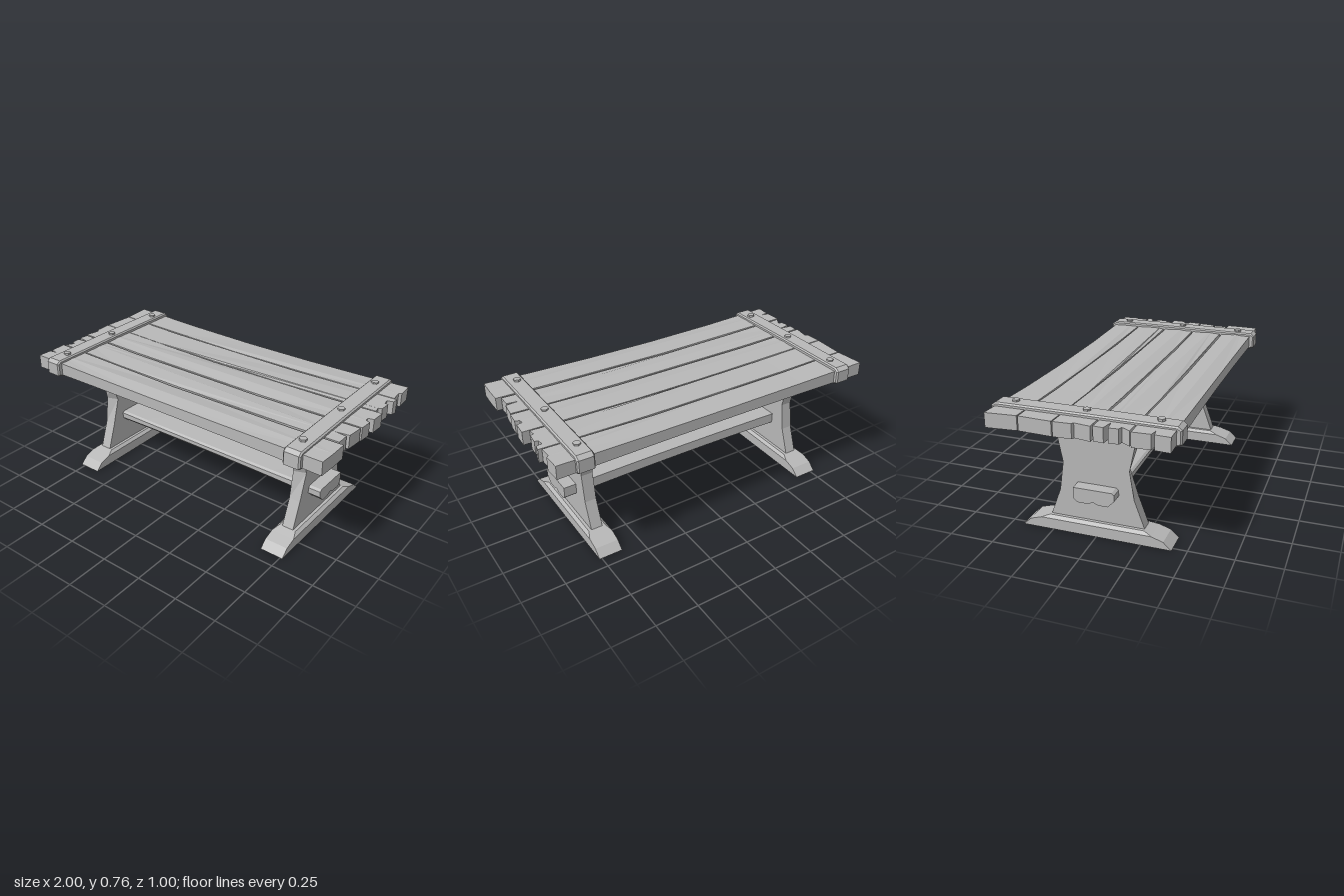
import * as THREE from 'three';

const wood = new THREE.MeshStandardMaterial({ color: 0xb8b8b8 });
wood.name = 'plain wood';

// Adds a faceted mesh, after moving its vertices by an optional rule
function part(group, name, geometry, rule) {
  const g = geometry.index ? geometry.toNonIndexed() : geometry;
  const p = g.attributes.position;
  const v = new THREE.Vector3();
  if (rule) {
    for (let i = 0; i < p.count; i++) {
      v.fromBufferAttribute(p, i);
      rule(v);
      p.setXYZ(i, v.x, v.y, v.z);
    }
  }
  g.computeVertexNormals();
  const mesh = new THREE.Mesh(g, wood);
  mesh.name = name;
  group.add(mesh);
  return mesh;
}

// Extrudes a [z, y] outline along x
function alongX(points, x0, x1, options = {}) {
  const shape = new THREE.Shape(points.map(([z, y]) => new THREE.Vector2(-z, y)));
  const g = new THREE.ExtrudeGeometry(shape, { depth: x1 - x0, bevelEnabled: false, ...options });
  return g.rotateY(Math.PI / 2).translate(x0, 0, 0);
}

// Extrudes an [x, z] outline upwards
function alongY(points, y0, y1) {
  const shape = new THREE.Shape(points.map(([x, z]) => new THREE.Vector2(x, -z)));
  return new THREE.ExtrudeGeometry(shape, { depth: y1 - y0, bevelEnabled: false })
    .rotateX(-Math.PI / 2).translate(0, y0, 0);
}

// Planks: back and front edge, then ragged ends as [share of width, x]
const planks = [
  { z: [-0.482, -0.312], left: [[0, -1], [1, -0.985]], right: [[0, 0.98], [0.55, 0.985], [0.6, 0.97], [1, 0.975]] },
  { z: [-0.306, -0.123], left: [[0, -0.985], [1, -0.995]],
    right: [[0, 0.995], [0.18, 0.99], [0.22, 0.955], [0.4, 0.96], [0.42, 0.98], [0.75, 0.975], [0.8, 0.955], [1, 0.96]] },
  { z: [-0.117, 0.077], left: [[0, -0.995], [0.5, -0.99], [0.54, -0.975], [1, -0.99]],
    right: [[0, 1], [0.42, 0.995], [0.46, 0.96], [0.58, 0.965], [0.62, 0.99], [1, 0.985]] },
  { z: [0.086, 0.27], left: [[0, -0.98], [0.3, -0.985], [0.36, -0.91], [0.42, -0.98], [0.7, -0.975], [0.74, -0.95], [1, -0.98]],
    right: [[0, 0.98], [0.3, 0.975], [0.52, 0.97], [0.56, 0.89], [0.6, 0.96], [1, 0.96]] },
  { z: [0.28, 0.475], left: [[0, -0.99], [0.5, -0.985], [0.54, -0.94], [0.58, -0.985], [1, -0.99]],
    right: [[0, 0.99], [0.5, 0.99], [1, 0.985]] },
];

function addTop(table) {
  planks.forEach(({ z: [z0, z1], left, right }, i) => {
    const at = ([t, x]) => [x, z0 + t * (z1 - z0)];
    const xs = [-0.55, -0.1, 0.35, 0.7];
    // Outer edges bow inward, inner edges wander slightly
    const back = xs.map((x, k) => [x, z0 + (i === 0 ? 0.012 * (1 - x * x) : 0.003 * ((k + i) % 2))]);
    const front = xs.map((x, k) => [x, z1 - (i === 4 ? 0.012 * (1 - x * x) : 0.003 * ((k + i + 1) % 2))]);
    const outline = [...left.map(at).reverse(), ...back, ...right.map(at), ...front.reverse()];
    part(table, 'plank', alongY(outline, 0.658, 0.738), (v) => {
      if (v.y > 0.7) v.y -= 0.016 * Math.max(0, 1 - v.x * v.x);
    });
  });

  // Wrapped cross bands with bolts through them
  const band = [[0.492, 0.665], [0.492, 0.73], [0.475, 0.743], [0, 0.747], [-0.475, 0.747],
    [-0.495, 0.733], [-0.495, 0.668], [-0.475, 0.656], [0, 0.658], [0.47, 0.656]];
  [[-0.898, -0.8], [0.778, 0.877]].forEach(([x0, x1]) => {
    part(table, 'crossBand', alongX(band, x0 + 0.008, x1 - 0.008, {
      bevelEnabled: true, bevelSize: 0.008, bevelThickness: 0.008, bevelSegments: 1,
    }));
    [-0.387, 0, 0.382].forEach((z) => {
      const bolt = part(table, 'bolt', new THREE.CylinderGeometry(0.021, 0.021, 0.128, 6));
      bolt.position.set((x0 + x1) / 2 + (x0 < 0 ? 0.007 : -0.007), 0.7, z);
    });
  });
}

// One trestle centred on x = 0; the two are copies, not mirror images
function makeTrestle() {
  const trestle = new THREE.Group();
  trestle.name = 'trestle';

  // Waisted panel with a chipped front edge on one side
  const panel = [[0.265, 0.07], [0.205, 0.235], [0.18, 0.4], [0.21, 0.545], [0.242, 0.63],
    [-0.25, 0.63], [-0.22, 0.545], [-0.192, 0.4], [-0.215, 0.235], [-0.275, 0.07]];
  part(trestle, 'legPanel', alongX(panel, -0.034, 0.034), (v) => {
    if (v.x > 0 && v.z > 0.17 && Math.abs(v.y - 0.4) < 0.01) v.z = 0.155;
  });

  // Foot with a narrowed upper ledge
  part(trestle, 'foot', alongX([[0.42, 0], [0.375, 0.042], [0.31, 0.063], [-0.32, 0.063],
    [-0.385, 0.042], [-0.43, 0]], -0.07, 0.07));
  part(trestle, 'footLedge', alongX([[0.31, 0.063], [0.265, 0.079], [-0.275, 0.079], [-0.32, 0.063]], -0.07, 0.07), (v) => {
    if (v.y > 0.07) v.x *= 0.74;
  });

  // Cleat under the table top
  part(trestle, 'cleat', alongX([[0.36, 0.635], [0.36, 0.66], [-0.36, 0.66], [-0.36, 0.635]], -0.073, 0.073));
  part(trestle, 'cleatUnderside', alongX([[0.36, 0.615], [0.36, 0.635], [-0.36, 0.635], [-0.355, 0.615],
    [-0.25, 0.622], [0.2, 0.622]], -0.073, 0.073), (v) => {
    if (v.y < 0.63) v.x *= 0.8;
  });
  return trestle;
}

export function createModel() {
  const table = new THREE.Group();
  table.name = 'trestleTable';
  addTop(table);

  [-0.706, 0.694].forEach((x) => {
    const trestle = makeTrestle();
    trestle.position.x = x;
    table.add(trestle);
  });

  // Stretcher running through both panels, notched below at its ends
  const beam = [[0.12, 0.25], [0.12, 0.285], [0.105, 0.295], [-0.11, 0.295], [-0.11, 0.232],
    [-0.088, 0.212], [-0.025, 0.212], [0, 0.226], [0.03, 0.212], [0.082, 0.212]];
  part(table, 'stretcher', alongX(beam, -0.808, 0.802, { steps: 10 }), (v) => {
    const middle = Math.max(0, 1 - (v.x / 0.7) ** 2);
    if (Math.abs(v.x) < 0.7 && v.y < 0.23) v.y = 0.217;
    if (v.y > 0.27) v.y -= 0.012 * middle * (v.z > 0 ? 1 : 0.3);
    v.z *= 1 - 0.1 * middle;
  });
  return table;
}
